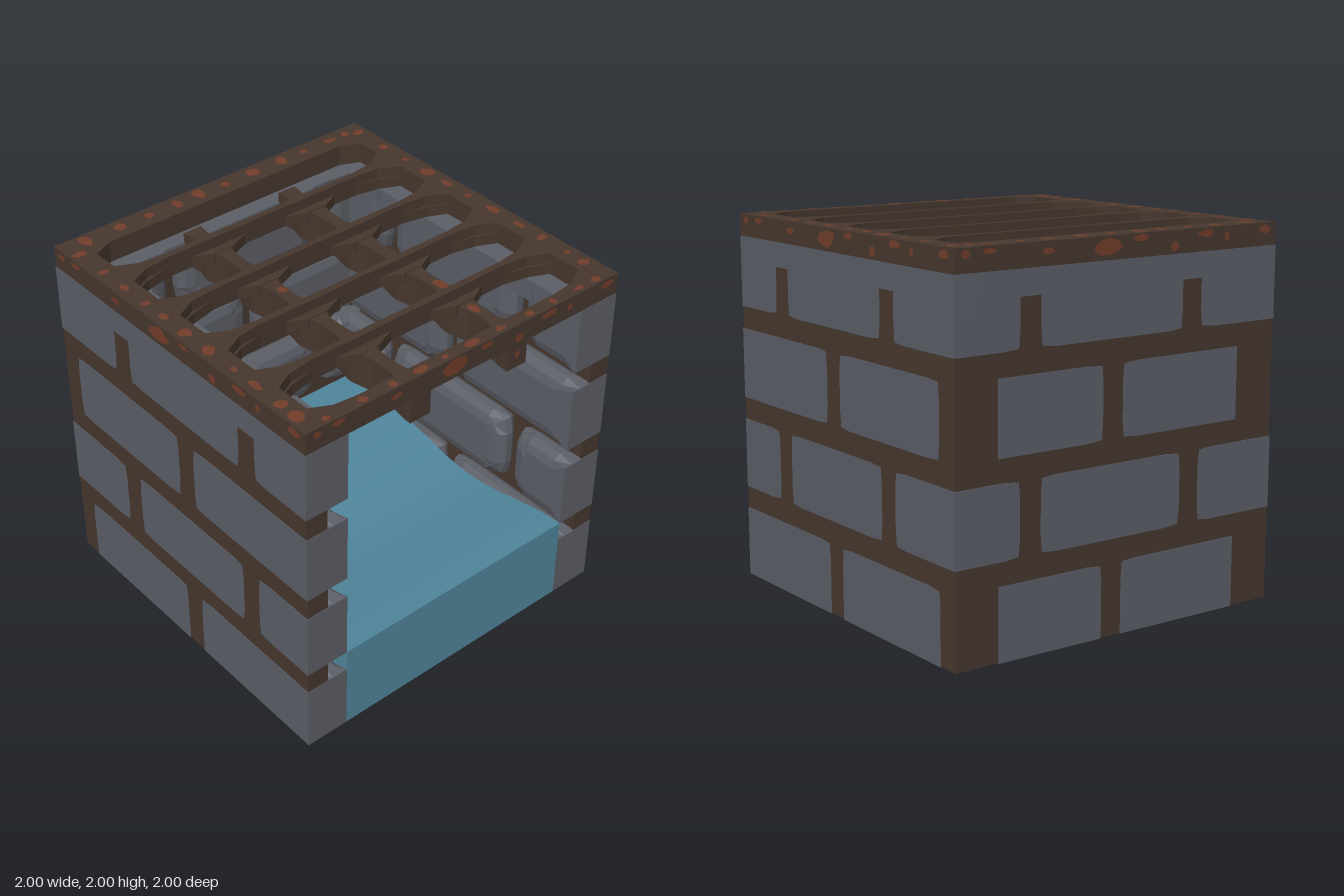
import * as THREE from 'three';

const mat = (name, color) => {
  const m = new THREE.MeshStandardMaterial({ color });
  m.name = name;
  return m;
};

// One wall brick: flat outside at w = 0, pillowed inside at w = 0.25.
// flush = sides [left, right, bottom, top] that stay straight.
function brickGeometry(u0, u1, v0, v1, flush) {
  const a = (u1 - u0) / 2, b = (v1 - v0) / 2, cu = (u0 + u1) / 2, cv = (v0 + v1) / 2;
  const qa = 1 - 0.09 / a, qb = 1 - 0.09 / b;
  const ring = [];
  for (const s of [-1, -qa, 0, qa]) ring.push([s, -1]);
  for (const s of [-1, -qb, 0, qb]) ring.push([1, s]);
  for (const s of [1, qa, 0, -qa]) ring.push([s, 1]);
  for (const s of [1, qb, 0, -qb]) ring.push([-1, s]);
  // depth, outward swell, corner cut
  const loops = [[0, 0, 0.008], [0.12, 0, 0.008], [0.16, 0.025, 0.02],
    [0.2, 0.025, 0.03], [0.235, -0.01, 0.035], [0.25, -0.06, 0.035]];
  const pos = [], idx = [], n = ring.length;
  for (const [w, e, cut] of loops) {
    for (const [su, sv] of ring) {
      const fu = su === -1 ? flush[0] : su === 1 ? flush[1] : false;
      const fv = sv === -1 ? flush[2] : sv === 1 ? flush[3] : false;
      const corner = Math.abs(su) === 1 && Math.abs(sv) === 1;
      const k = fu || fv ? 0 : e - (corner ? cut : 0);
      pos.push(cu + su * a + Math.sign(su) * k * (Math.abs(su) === 1 ? 1 : 0),
        cv + sv * b + Math.sign(sv) * k * (Math.abs(sv) === 1 ? 1 : 0), w);
    }
  }
  for (let i = 0; i < loops.length - 1; i++) {
    for (let j = 0; j < n; j++) {
      const p = i * n + j, q = i * n + (j + 1) % n;
      idx.push(p, q, q + n, p, q + n, p + n);
    }
  }
  const first = pos.length / 3, last = (loops.length - 1) * n;
  pos.push(cu, cv, 0, cu, cv, 0.25);
  for (let j = 0; j < n; j++) {
    const k = (j + 1) % n;
    idx.push(first, k, j, first + 1, last + j, last + k);
  }
  const g = new THREE.BufferGeometry();
  g.setAttribute('position', new THREE.Float32BufferAttribute(pos, 3));
  g.setIndex(idx);
  const flat = g.toNonIndexed();
  flat.computeVertexNormals();
  return flat;
}

export function createModel() {
  const model = new THREE.Group();
  model.name = 'brickBasin';
  const stone = mat('stone', 0x5b5e66);
  const mortar = mat('mortar', 0x46372e);
  const rust = mat('rust', 0x713d29);
  const water = mat('water', 0x4f859b);

  const add = (parent, name, geo, material, x = 0, y = 0, z = 0) => {
    const m = new THREE.Mesh(geo, material);
    m.name = name;
    m.position.set(x, y, z);
    parent.add(m);
    return m;
  };

  // Walls: mortar slab with bricks set through it, inside facing local +z
  const longRow = [[-1, -0.5], [-0.375, 0.5], [0.625, 1]];
  const sideRow = [[-0.875, 0], [0.125, 1]];
  const backRow = [[-0.75, 0], [0.125, 0.75]];
  function wall(name, evenRow, flip) {
    const g = new THREE.Group();
    g.name = name;
    add(g, 'mortarSlab', new THREE.BoxGeometry(1.994, 1.876, 0.127), mortar, 0, 0.941, 0.0665);
    for (let r = 0; r < 4; r++) {
      for (const [s, e] of r % 2 ? longRow : evenRow) {
        const u0 = flip ? -e : s, u1 = flip ? -s : e;
        const ends = [u0, u1].map(u => Math.abs(u) === 1 || Math.abs(u) === 0.75);
        add(g, 'brick', brickGeometry(u0, u1, r * 0.5, r * 0.5 + 0.38, [...ends, r === 0, r === 3]), stone);
      }
    }
    add(g, 'topCourse', new THREE.BoxGeometry(2, 0.13, 0.24), stone, 0, 1.815, 0.12);
    model.add(g);
    return g;
  }
  wall('backWall', backRow, false).position.z = -1;
  const plusSide = wall('leftWall', sideRow, false);
  plusSide.position.x = 1;
  plusSide.rotation.y = -Math.PI / 2;
  const minusSide = wall('rightWall', sideRow, true);
  minusSide.position.x = -1;
  minusSide.rotation.y = Math.PI / 2;

  // Water with a shallow dip behind the front edge
  const wg = new THREE.BoxGeometry(1.5, 0.5, 1.75, 1, 1, 24);
  const wp = wg.attributes.position;
  for (let i = 0; i < wp.count; i++) {
    if (wp.getY(i) < 0) continue;
    const t = (0.875 - wp.getZ(i)) / 1.4;
    if (t < 1) wp.setY(i, 0.25 - 0.1 * Math.sin(Math.PI * t) ** 2);
  }
  wg.computeVertexNormals();
  add(model, 'water', wg, water, 0, 0.25, 0.125);

  // Grate: frame and cross bars in two layers, the lower one flared at the joints
  const halfHole = [[0, 0.172, 0.172], [0.13, 0.17, 0.17], [0.25, 0.168, 0.12], [0.37, 0.168, 0.12],
    [0.47, 0.17, 0.17], [0.62, 0.17, 0.17], [0.76, 0.155, 0.14], [0.87, 0.1, 0.09]];
  function gratePlate(layer, yTop, depth) {
    const h = 0.998;
    const shape = new THREE.Shape([[-h, -h], [h, -h], [h, h], [-h, h]].map(p => new THREE.Vector2(...p)));
    const xs = [...halfHole.slice(1).reverse().map(p => [-p[0], p[layer]]), ...halfHole.map(p => [p[0], p[layer]])];
    for (let r = 0; r < 5; r++) {
      const zc = 0.755 - r * 0.377;
      const near = xs.map(([x, d]) => new THREE.Vector2(x, zc + d));
      const far = xs.map(([x, d]) => new THREE.Vector2(x, r === 4 ? Math.max(zc - d, -0.85) : zc - d));
      if (r === 4) far.forEach(p => { p.y = Math.abs(p.x) > 0.8 ? -0.8 : -0.85; });
      shape.holes.push(new THREE.Path([...near, ...far.reverse()]));
    }
    const g = new THREE.ExtrudeGeometry(shape, { depth, bevelEnabled: false });
    g.rotateX(Math.PI / 2);
    add(model, 'grateFrame', g, mortar, 0, yTop, 0);
  }
  gratePlate(1, 1.998, 0.058);
  gratePlate(2, 1.94, 0.06);

  // Long bars under the cross bars, narrowed in the middle of each opening
  const edge = [[1, 0.0625], [0.95, 0.06]];
  for (let r = 0; r < 5; r++) {
    const zc = 0.755 - r * 0.377;
    if (r < 4) edge.push([zc + 0.06, 0.036], [zc - 0.06, 0.036], [zc - 0.17, 0.06], [zc - 0.2, 0.06]);
  }
  edge.push([-0.64, 0.04], [-0.76, 0.055]);
  const barShape = new THREE.Shape([...edge.map(([z, w]) => new THREE.Vector2(w, z)),
    ...edge.slice().reverse().map(([z, w]) => new THREE.Vector2(-w, z))]);
  for (const x of [-0.3125, 0.3125]) {
    const g = new THREE.ExtrudeGeometry(barShape, { depth: 0.185, bevelEnabled: false });
    g.rotateX(Math.PI / 2);
    add(model, 'longBar', g, mortar, x, 1.935, 0);
  }

  // Rust patches: thin irregular blobs
  let seed = 7;
  const rnd = () => (seed = (seed * 16807) % 2147483647) / 2147483647;
  function blob(rx, ry) {
    const pts = [];
    for (let i = 0; i < 9; i++) {
      const t = i / 9 * Math.PI * 2, k = 0.65 + 0.35 * rnd();
      pts.push(new THREE.Vector2(Math.cos(t) * rx * k, Math.sin(t) * ry * k));
    }
    return new THREE.ShapeGeometry(new THREE.Shape(pts));
  }
  const topPatch = (x, z, rx, rz, y = 2) => {
    add(model, 'rustPatch', blob(rx, rz), rust, x, y, z).rotation.x = -Math.PI / 2;
  };
  for (let i = 0; i < 11; i++) {
    const p = -0.85 + i * 0.17 + rnd() * 0.08;
    topPatch(-0.94, p, 0.02 + rnd() * 0.03, 0.02 + rnd() * 0.035);
    topPatch(0.94, p - 0.05, 0.02 + rnd() * 0.03, 0.02 + rnd() * 0.035);
    topPatch(p, -0.93, 0.02 + rnd() * 0.035, 0.02 + rnd() * 0.04);
    topPatch(p, 0.965, 0.02 + rnd() * 0.04, 0.02 + rnd() * 0.01);
  }
  topPatch(0.32, 0.45, 0.035, 0.06, 1.942);
  topPatch(0.3, 0.7, 0.03, 0.05, 1.942);
  topPatch(-0.31, -0.02, 0.03, 0.04, 1.942);

  // Rust on the rim, the same on all four sides: position, height, half sizes
  const rimSpots = [[-0.93, 1.965, 0.03, 0.025], [-0.8, 1.975, 0.05, 0.02], [-0.46, 1.95, 0.04, 0.02],
    [-0.1, 1.945, 0.1, 0.05], [0.1, 1.975, 0.05, 0.02], [0.32, 1.92, 0.03, 0.03],
    [0.52, 1.97, 0.06, 0.025], [0.66, 1.945, 0.02, 0.025], [0.92, 1.965, 0.05, 0.03]];
  for (let s = 0; s < 4; s++) {
    const side = new THREE.Group();
    side.name = 'rimRust';
    side.rotation.y = s * Math.PI / 2;
    for (const [x, y, rx, ry] of rimSpots) add(side, 'rustPatch', blob(rx, ry), rust, x, y, 1);
    if (s === 0) add(side, 'rustPatch', blob(0.02, 0.025), rust, 0.31, 1.83, 1.002);
    model.add(side);
  }
  return model;
}
